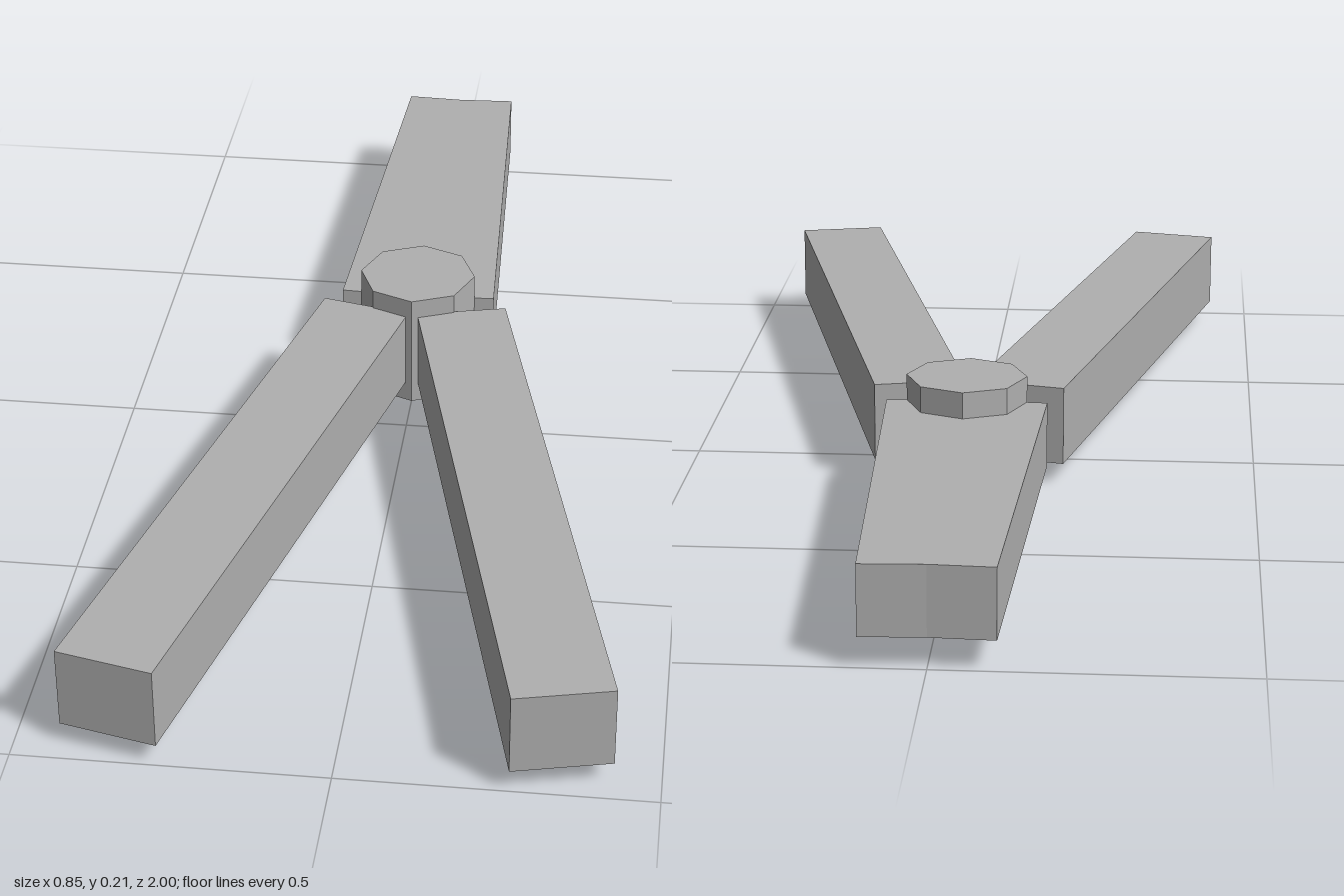
import * as THREE from 'three';

export function createModel() {
  const model = new THREE.Group();
  model.name = 'pliers';
  const metal = new THREE.MeshStandardMaterial({ color: 0xb0b0b0, flatShading: true });
  metal.name = 'grey metal';

  const add = (name, geometry, x, y, z) => {
    const mesh = new THREE.Mesh(geometry, metal);
    mesh.name = name;
    mesh.position.set(x, y, z);
    model.add(mesh);
    return mesh;
  };

  // Eight-sided hinge pin
  add('pivot', new THREE.CylinderGeometry(0.104, 0.104, 0.21, 8), 0, 0.105, -0.187);

  // Two splayed handles
  for (const side of [1, -1]) {
    const handle = add(side > 0 ? 'leftHandle' : 'rightHandle',
      new THREE.BoxGeometry(0.1615, 0.138, 1.131), side * 0.2175, 0.106, 0.43);
    handle.rotation.y = side * 0.234;
  }

  // Closed jaws, tapering to a slightly notched tip
  const outline = new THREE.Shape([
    [-0.104, -1], [0, -0.995], [0.104, -1], [0.139, -0.19], [0, -0.183], [-0.139, -0.19],
  ].map(([x, z]) => new THREE.Vector2(x, z)));
  const jaws = new THREE.ExtrudeGeometry(outline, { depth: 0.115, bevelEnabled: false });
  jaws.rotateX(Math.PI / 2);
  add('jaws', jaws, 0, 0.164, 0);

  return model;
}
